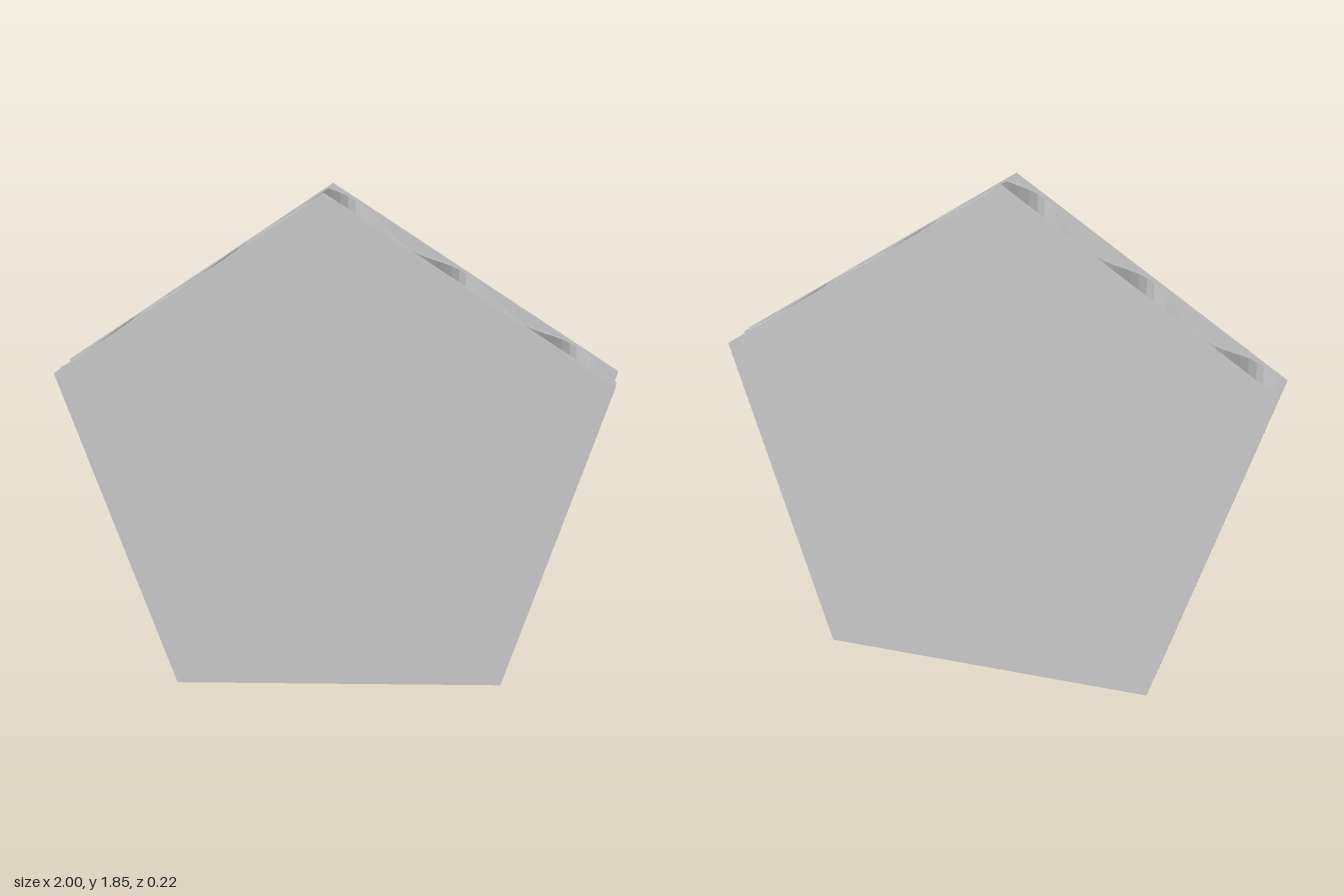
import * as THREE from 'three';

// Pentagon outline split into its upper and lower edges, left to right
const UPPER = [[-1, 1.17], [-0.02, 1.85], [1, 1.21]];
const LOWER = [[-1, 1.17], [-0.57, 0], [0.63, 0.075], [1, 1.21]];
const SHEET = 0.02, SHEET_Z = 0.1;
const PERIOD = 0.394, CREST_X = 0.065, AMPLITUDE = 0.08, PAPER = 0.018;

// Height of an edge line at x
function heightAt(line, x) {
  let i = 1;
  while (i < line.length - 1 && x > line[i][0]) i++;
  const [x0, y0] = line[i - 1], [x1, y1] = line[i];
  return y0 + (y1 - y0) * (x - x0) / (x1 - x0);
}

// Wavy sheet with upright flutes, trimmed to the pentagon
function fluteGeometry() {
  const step = PERIOD / 16, k = 2 * Math.PI / PERIOD;
  const xs = [-1, -0.57, -0.02, 0.63, 1];
  for (let n = Math.ceil((-1 - CREST_X) / step); CREST_X + n * step < 1; n++) xs.push(CREST_X + n * step);
  xs.sort((a, b) => a - b);

  const positions = [], index = [];
  xs.forEach((x, i) => {
    const z = -AMPLITUDE * Math.cos(k * (x - CREST_X));
    const slope = AMPLITUDE * k * Math.sin(k * (x - CREST_X));
    const h = PAPER / 2 * Math.hypot(1, slope); // keeps the paper evenly thick
    const top = heightAt(UPPER, x), bottom = heightAt(LOWER, x);
    positions.push(x, top, z + h, x, bottom, z + h, x, bottom, z - h, x, top, z - h);
    if (i === 0) return;
    for (let c = 0; c < 4; c++) {
      const d = (c + 1) % 4, a = (i - 1) * 4, b = i * 4;
      index.push(a + c, a + d, b + d, a + c, b + d, b + c);
    }
  });
  const indexed = new THREE.BufferGeometry();
  indexed.setAttribute('position', new THREE.Float32BufferAttribute(positions, 3));
  indexed.setIndex(index);
  const geometry = indexed.toNonIndexed();
  geometry.computeVertexNormals();
  return geometry;
}

export function createModel() {
  const group = new THREE.Group();
  group.name = 'corrugatedPentagon';
  const material = new THREE.MeshStandardMaterial({ color: 0xcccccc, flatShading: true });

  // Flat facing sheets
  const outline = [...LOWER, UPPER[1]].map(([x, y]) => new THREE.Vector2(x, y));
  const sheet = new THREE.ExtrudeGeometry(new THREE.Shape(outline), { depth: SHEET, bevelEnabled: false });
  sheet.translate(0, 0, -SHEET / 2);
  for (const [name, side] of [['frontSheet', 1], ['backSheet', -1]]) {
    const mesh = new THREE.Mesh(sheet, material);
    mesh.name = name;
    mesh.position.z = side * SHEET_Z;
    group.add(mesh);
  }

  // Corrugated core
  const core = new THREE.Mesh(fluteGeometry(), material);
  core.name = 'corrugatedCore';
  group.add(core);
  return group;
}
